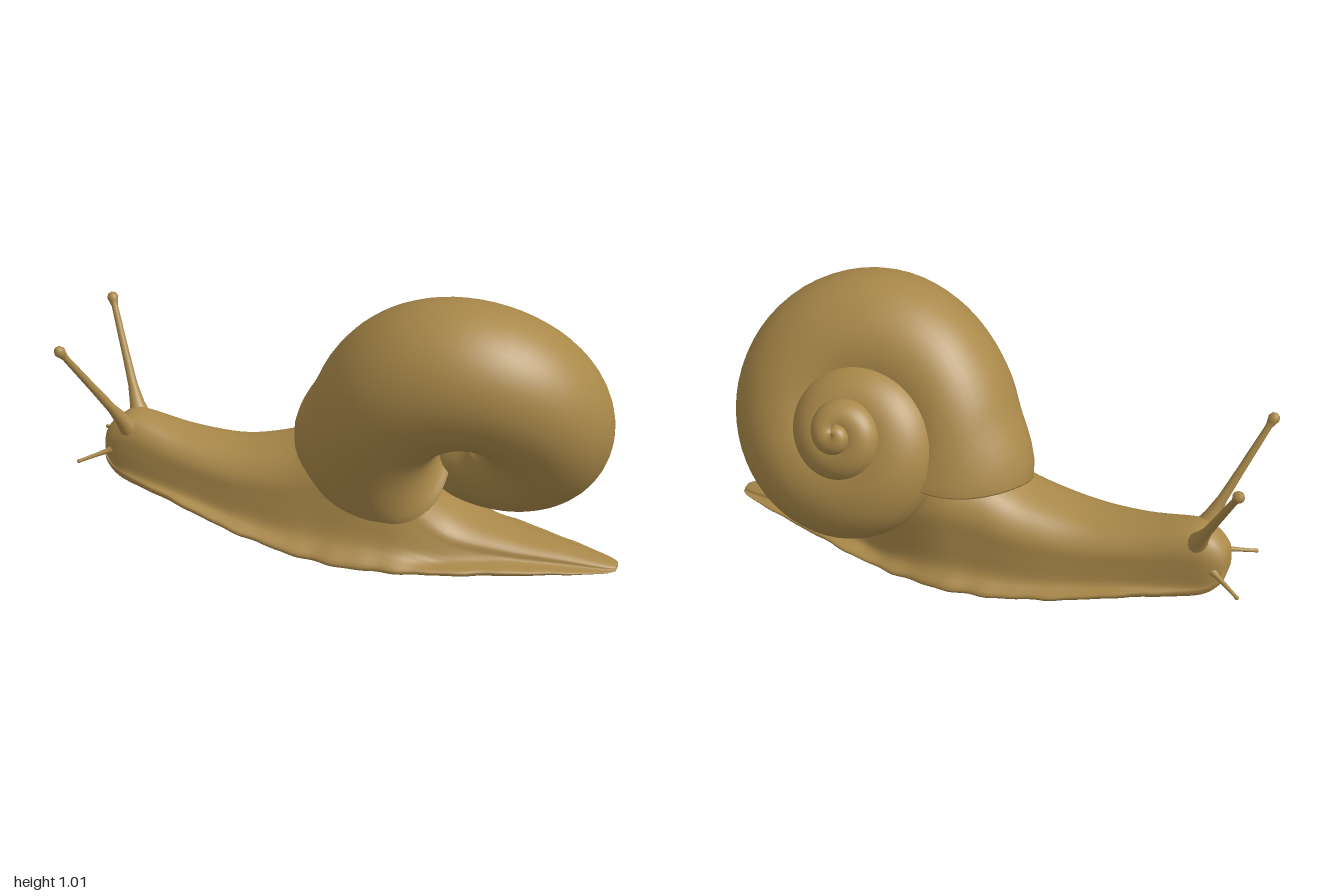
import * as THREE from 'three';

// Uniform Catmull-Rom blend of a table of rows, u in [0, rows.length - 1]
function blend(rows, u) {
  const last = rows.length - 1;
  const i = Math.min(Math.floor(u), last - 1);
  const f = u - i;
  const row = (k) => rows[Math.max(0, Math.min(last, k))];
  const [a, b, c, d] = [row(i - 1), row(i), row(i + 1), row(i + 2)];
  return b.map((_, k) => b[k] + 0.5 * f * (c[k] - a[k]
    + f * (2 * a[k] - 5 * b[k] + 4 * c[k] - d[k]
    + f * (3 * (b[k] - c[k]) + d[k] - a[k]))));
}

// Smooth skin over a list of closed rings
function loft(rings) {
  const n = rings[0].length;
  const index = [];
  for (let i = 0; i < rings.length - 1; i++) {
    for (let j = 0; j < n; j++) {
      const k = (j + 1) % n;
      const a = i * n + j, b = a + n, c = i * n + k, d = c + n;
      index.push(a, b, c, b, d, c);
    }
  }
  const geo = new THREE.BufferGeometry().setFromPoints(rings.flat());
  geo.setIndex(index);
  geo.computeVertexNormals();
  return geo;
}

const collapse = (ring, centre) => ring.map(() => centre.clone());

// Coiled shell: [coil radius, tube radius, height along axis] each half turn
function shellGeometry() {
  const rows = [
    [0, 0.03, 0.32], [0.03, 0.052, 0.293], [0.045, 0.07, 0.255], [0.085, 0.105, 0.195],
    [0.09, 0.145, 0.12], [0.19, 0.245, 0], [0.292, 0.262, -0.06], [0.352, 0.285, -0.18],
  ];
  const start = -990, end = 210, steps = 200, sides = 48;
  const centre = new THREE.Vector3(0.437, 0.527, -0.06);
  const axis = new THREE.Vector3(-0.1, 0.445, -0.88);
  const up = new THREE.Vector3(0, 0.88, 0.47);
  const ramp = THREE.MathUtils.smoothstep;

  const makeRing = (deg, scale) => {
    const [R, r, h] = blend(rows, (deg - start) / 180);
    // the mouth is cut obliquely, flared outside and drawn in on the inner side
    const skew = ramp(deg, 90, end);
    const flare = 1 - 0.15 * ramp(deg, 80, 165) + 0.27 * ramp(deg, 180, end + 4);
    const squeeze = 1 - 0.26 * ramp(deg, 110, end);
    return Array.from({ length: sides }, (_, j) => {
      const a = (j / sides) * Math.PI * 2;
      const cos = Math.cos(a);
      const phi = THREE.MathUtils.degToRad(deg - skew * cos * (cos > 0 ? 22 : 29));
      const rad = R + r * scale * cos * (cos > 0 ? flare : squeeze);
      return centre.clone()
        .add(new THREE.Vector3(rad * Math.cos(phi), 0, 0))
        .addScaledVector(up, rad * Math.sin(phi))
        .addScaledVector(axis, h - r * scale * Math.sin(a));
    });
  };

  const rings = [];
  for (let i = 0; i <= steps; i++) {
    rings.push(makeRing(start + ((end - start) * i) / steps, 1));
  }
  rings.unshift(collapse(rings[0], centre.clone().addScaledVector(axis, 0.34)));
  // rolled lip and closed mouth
  rings.push(makeRing(end + 1, 0.98), makeRing(end, 0.94), makeRing(end - 8, 0.92));
  rings.push(makeRing(end - 10, 0.02));
  return loft(rings);
}

// Body and foot: [x, top, bottom, foot half width, neck half width, lean]
function bodyGeometry() {
  const rows = [
    [-0.925, 0.275, 0.19, 0.045, 0.04, 0],
    [-0.912, 0.305, 0.17, 0.07, 0.062, 0],
    [-0.87, 0.345, 0.135, 0.092, 0.085, 0],
    [-0.8, 0.37, 0.118, 0.115, 0.1, 0],
    [-0.6, 0.322, 0.09, 0.175, 0.13, 0],
    [-0.4, 0.308, 0.05, 0.225, 0.16, 0],
    [-0.2, 0.35, 0.02, 0.26, 0.188, 0.02],
    [-0.05, 0.42, 0.008, 0.28, 0.2, 0.04],
    [0.1, 0.45, 0.004, 0.285, 0.215, 0.06],
    [0.25, 0.35, 0.003, 0.27, 0.205, 0.05],
    [0.4, 0.17, 0.003, 0.24, 0.16, 0.02],
    [0.6, 0.1, 0.003, 0.18, 0.11, 0],
    [0.8, 0.062, 0.004, 0.115, 0.07, 0],
    [0.95, 0.032, 0.005, 0.06, 0.04, 0],
    [0.995, 0.02, 0.007, 0.032, 0.022, 0],
  ];
  const rings = [];
  const steps = (rows.length - 1) * 6;
  for (let i = 0; i <= steps; i++) {
    const [x, t, b, w0, n, lean] = blend(rows, (i / steps) * (rows.length - 1));
    const H = t - b;
    const zc = 0.018;
    // gentle ripple along the foot edge
    const w = w0 * (1 + 0.012 * Math.sin(x * 31) + 0.01 * Math.sin(x * 53 + 1));
    const edge = Math.min(0.028, 0.3 * H);
    const half = [
      [0.55 * w, 0], [0.9 * w, 0.002], [w, edge],
      [n + (w - n) * 0.28, Math.max(0.2 * H, edge * 1.3)],
      [n, 0.48 * H], [0.9 * n, 0.75 * H], [0.55 * n, 0.95 * H],
    ];
    const at = (z, y) => new THREE.Vector3(x, b + y, zc + z - (lean * y) / H);
    const outline = new THREE.CatmullRomCurve3([
      at(0, 0), ...half.map(([z, y]) => at(z, y)),
      at(0, H), ...half.slice().reverse().map(([z, y]) => at(-z, y)),
    ], true, 'catmullrom', 0.5);
    rings.push(Array.from({ length: 64 }, (_, j) => outline.getPoint(j / 64)));
  }
  rings.unshift(collapse(rings[0], new THREE.Vector3(-0.93, 0.23, 0.018)));
  rings.push(collapse(rings[0], new THREE.Vector3(1, 0.013, 0.018)));
  return loft(rings);
}

// Tapered feeler with a rounded knob, from base to tip
function feeler(name, base, tip, baseR, stemR, knobR, material) {
  const dir = new THREE.Vector3().subVectors(tip, base);
  const L = dir.length();
  const profile = [
    [baseR, 0], [baseR * 0.68, L * 0.1], [stemR * 1.35, L * 0.25],
    [stemR * 1.1, L * 0.5], [stemR * 0.9, L - knobR * 2.6], [knobR * 0.8, L - knobR * 1.7],
    [knobR, L - knobR], [knobR * 0.7, L - knobR * 0.3], [0, L],
  ].map(([r, y]) => new THREE.Vector2(r, y));
  const mesh = new THREE.Mesh(new THREE.LatheGeometry(profile, 16), material);
  mesh.name = name;
  mesh.position.copy(base);
  mesh.quaternion.setFromUnitVectors(new THREE.Vector3(0, 1, 0), dir.normalize());
  return mesh;
}

export function createModel() {
  const group = new THREE.Group();
  group.name = 'snail';
  const brown = new THREE.MeshStandardMaterial({ color: 0xa98849 });
  brown.name = 'ochre brown';

  const shell = new THREE.Mesh(shellGeometry(), brown);
  shell.name = 'shell';
  const body = new THREE.Mesh(bodyGeometry(), brown);
  body.name = 'body';
  group.add(shell, body);

  // mirrored pairs of eye stalks and lower feelers
  for (const [side, s] of [['Near', 1], ['Far', -1]]) {
    const p = (x, y, z) => new THREE.Vector3(x, y, 0.018 + s * z);
    group.add(
      feeler('eyeStalk' + side, p(-0.818, 0.325, 0.05), p(-0.985, 0.725, 0.245),
        0.04, 0.013, 0.021, brown),
      feeler('lowerFeeler' + side, p(-0.875, 0.235, 0.06), p(-1, 0.2, 0.14),
        0.024, 0.007, 0.008, brown),
    );
  }
  return group;
}
